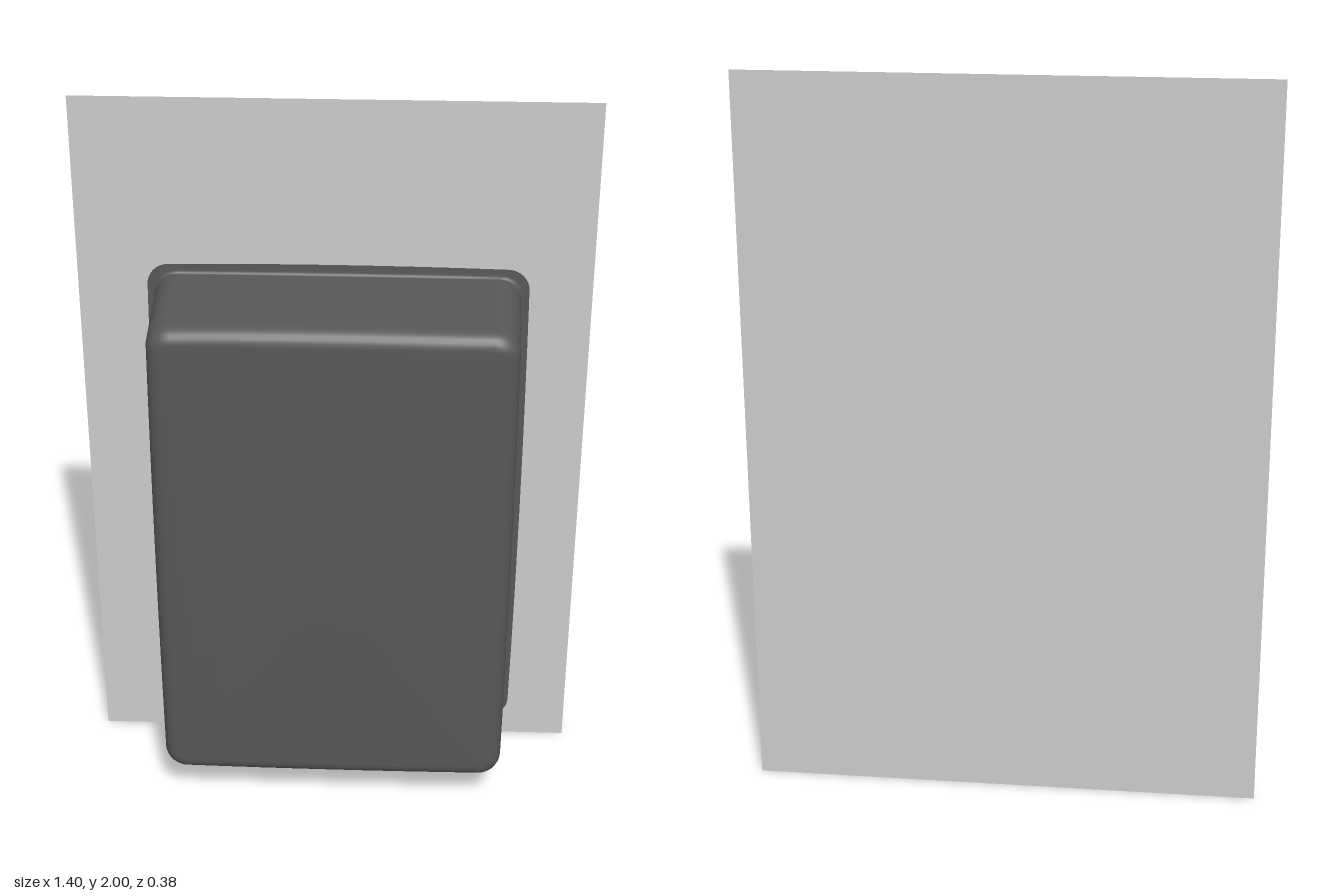
import * as THREE from 'three';

const CORNER = 8, SIDE = 8;

// Rounded rectangle, counter-clockwise seen from the front, sides bowed out slightly
function ring(hw, hh, r, z, bow) {
  const corners = [[1, 1], [-1, 1], [-1, -1], [1, -1]];
  const pts = [];
  corners.forEach(([sx, sy], k) => {
    for (let i = 0; i <= CORNER; i++) {
      const a = (k + i / CORNER) * Math.PI / 2;
      pts.push(new THREE.Vector3(sx * (hw - r) + r * Math.cos(a), sy * (hh - r) + r * Math.sin(a), z));
    }
    // straight run to the next corner
    const end = pts[pts.length - 1];
    const [nx, ny] = corners[(k + 1) % 4];
    const a = (k + 1) * Math.PI / 2;
    const next = new THREE.Vector3(nx * (hw - r) + r * Math.cos(a), ny * (hh - r) + r * Math.sin(a), z);
    for (let i = 1; i < SIDE; i++) {
      const t = i / SIDE, b = bow * 4 * t * (1 - t);
      const p = end.clone().lerp(next, t);
      p.x += b * Math.cos(a);
      p.y += b * Math.sin(a);
      pts.push(p);
    }
  });
  return pts;
}

// Skin the rings from back to front and close the last one at its centre
function loft(rings, tipZ) {
  const n = rings[0].length, pos = [], idx = [];
  rings.forEach(r => r.forEach(p => pos.push(p.x, p.y, p.z)));
  for (let j = 0; j < rings.length - 1; j++) {
    for (let i = 0; i < n; i++) {
      const a = j * n + i, b = j * n + (i + 1) % n;
      idx.push(a, b, b + n, a, b + n, a + n);
    }
  }
  const tip = rings.length * n, last = tip - n;
  pos.push(0, 0, tipZ);
  for (let i = 0; i < n; i++) idx.push(last + i, last + (i + 1) % n, tip);
  const g = new THREE.BufferGeometry();
  g.setAttribute('position', new THREE.Float32BufferAttribute(pos, 3));
  g.setIndex(idx);
  g.computeVertexNormals();
  return g;
}

export function createModel() {
  const model = new THREE.Group();

  // Thin flat panel behind the tray
  const panel = new THREE.Mesh(
    new THREE.PlaneGeometry(1.4, 2),
    new THREE.MeshStandardMaterial({ color: 0xcccccc, side: THREE.DoubleSide })
  );
  panel.name = 'backPanel';
  panel.position.set(0, 1, -0.19);
  model.add(panel);

  // Hollow tray: flat flange, tapered walls, rounded front edge, faintly domed face
  const rings = [
    ring(0.518, 0.733, 0.06, -0.175, 0.005),
    ring(0.503, 0.714, 0.06, -0.175, 0.002),
    ring(0.497, 0.708, 0.06, -0.173, 0.001),
    ring(0.495, 0.706, 0.06, -0.167, 0.001),
    ring(0.490, 0.703, 0.06, 0, 0.002),
    ring(0.484, 0.699, 0.06, 0.14, 0.003)
  ];
  const fillet = 0.042;
  for (let i = 0; i <= 6; i++) {
    const a = i / 6 * Math.PI / 2, d = fillet * (1 - Math.cos(a));
    rings.push(ring(0.483 - d, 0.698 - d, 0.065 - d, 0.145 + fillet * Math.sin(a), 0.003));
  }
  rings.push(ring(0.40, 0.615, 0.02, 0.188, 0.002));
  rings.push(ring(0.25, 0.40, 0.015, 0.190, 0));

  const tray = new THREE.Mesh(
    loft(rings, 0.191),
    new THREE.MeshStandardMaterial({ color: 0x575757, side: THREE.DoubleSide })
  );
  tray.name = 'tray';
  tray.position.set(0.01, 0.806, 0);
  model.add(tray);

  return model;
}
